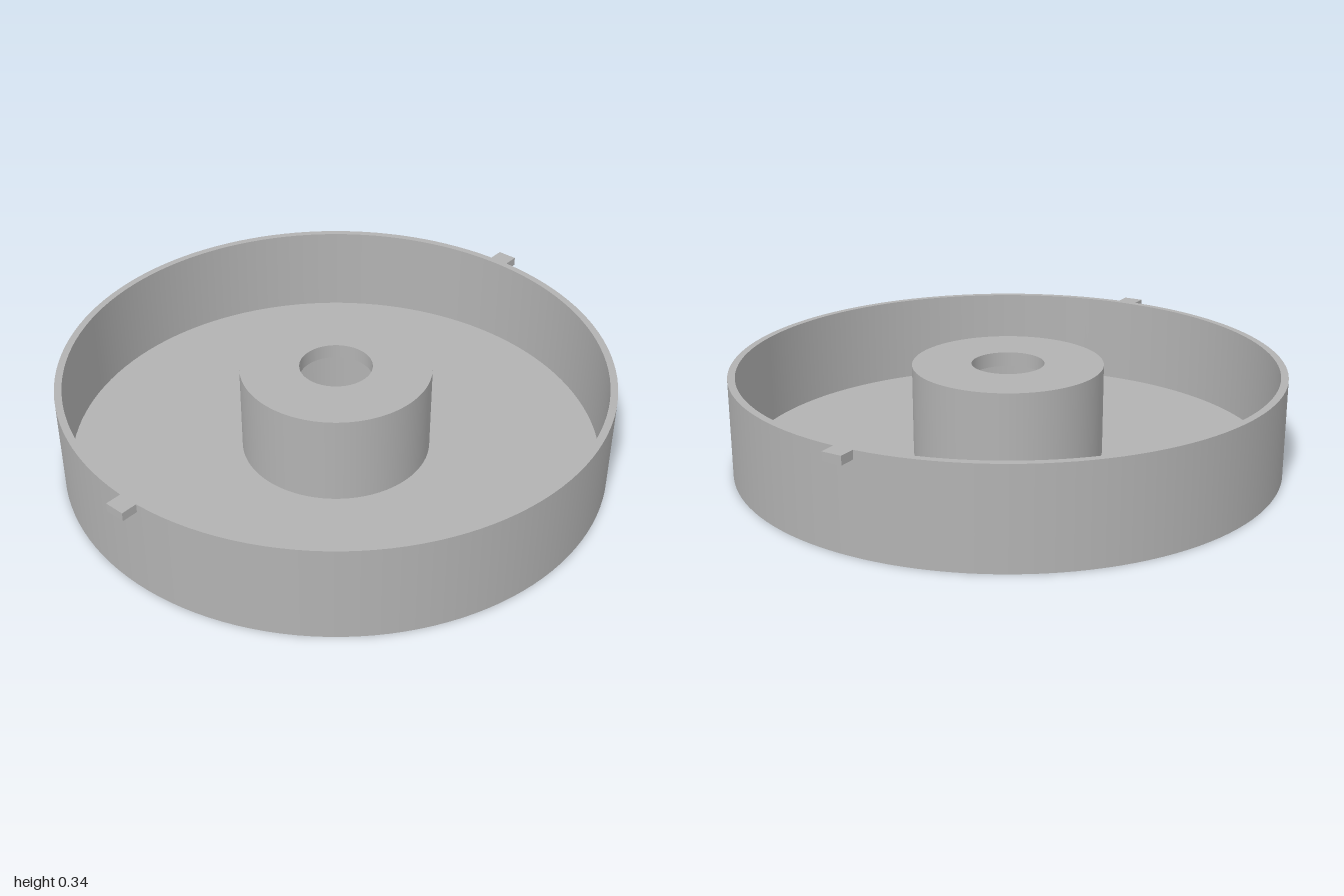
import * as THREE from 'three';

export function createModel() {
  const model = new THREE.Group();
  model.name = 'hubbedTray';
  const grey = new THREE.MeshStandardMaterial({ color: 0xb2b2b2 });
  grey.name = 'grey';

  const height = 0.34, floorY = 0.025, ceilingY = 0.29;
  const outerR = 0.945, innerR = 0.92, hubR = 0.328, boreR = 0.274, holeR = 0.125;

  // Each surface is a separate lathe of one profile segment, so edges stay sharp
  const surfaces = [
    ['outerWall', outerR, 0, outerR, height],
    ['rim', outerR, height, innerR, height],
    ['innerWall', innerR, height, innerR, floorY],
    ['trayFloor', innerR, floorY, hubR, floorY],
    ['hubWall', hubR, floorY, hubR, height],
    ['hubTop', hubR, height, holeR, height],
    ['shaftHole', holeR, height, holeR, ceilingY],
    ['boreCeiling', holeR, ceilingY, boreR, ceilingY],
    ['boreWall', boreR, ceilingY, boreR, 0],
    ['underside', boreR, 0, outerR, 0],
  ];
  for (const [name, r0, y0, r1, y1] of surfaces) {
    const profile = [new THREE.Vector2(r0, y0), new THREE.Vector2(r1, y1)];
    const mesh = new THREE.Mesh(new THREE.LatheGeometry(profile, 128), grey);
    mesh.name = name;
    model.add(mesh);
  }

  // Locking tabs on both sides, embedded in the thin wall
  for (const side of [-1, 1]) {
    const tab = new THREE.Mesh(new THREE.BoxGeometry(0.07, 0.03, 0.07), grey);
    tab.name = side > 0 ? 'leftTab' : 'rightTab';
    tab.position.set(side * 0.965, height - 0.015, 0);
    model.add(tab);
  }
  return model;
}
